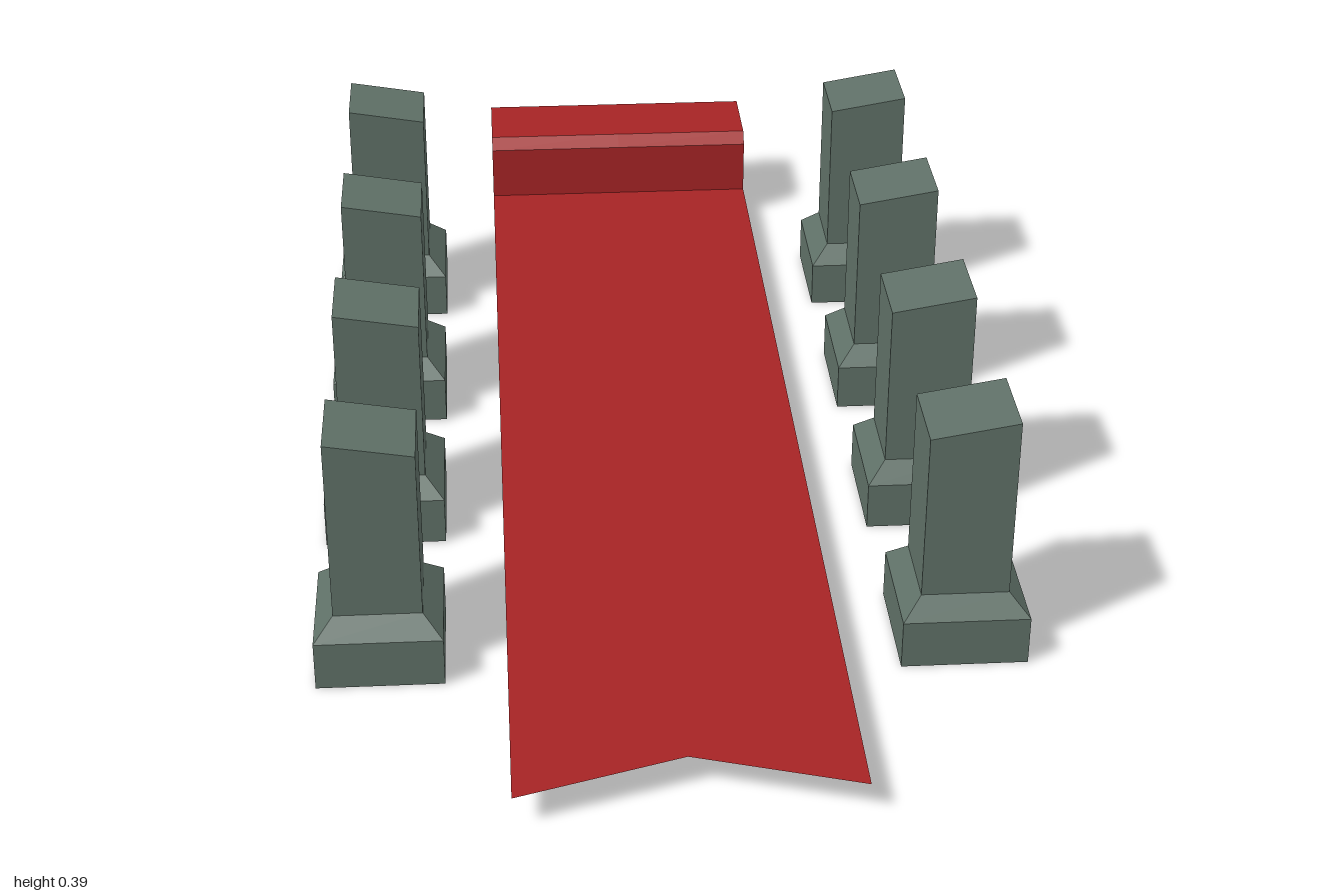
import * as THREE from 'three';

const stone = new THREE.MeshStandardMaterial({ color: 0x5f7067 });
stone.name = 'grey green stone';
const cloth = new THREE.MeshStandardMaterial({ color: 0xa62425, side: THREE.DoubleSide });
cloth.name = 'red cloth';

// Flat-faced geometry from a list of quads, each four corners counter-clockwise
function fromQuads(quads) {
  const pos = [];
  for (const [a, b, c, d] of quads) pos.push(...a, ...b, ...c, ...a, ...c, ...d);
  const geo = new THREE.BufferGeometry();
  geo.setAttribute('position', new THREE.Float32BufferAttribute(pos, 3));
  geo.computeVertexNormals();
  return geo;
}

// Square pillar: plinth, chamfer and shaft, its top sloping down towards -x * side
function pillarGeometry(side) {
  const sections = [[0.094, 0, 0], [0.094, 0.076, 0], [0.065, 0.106, 0], [0.065, 0.381, 0.011]];
  const rings = sections.map(([r, y, tilt]) =>
    [[-1, 1], [1, 1], [1, -1], [-1, -1]].map(([x, z]) => [x * r, y + x * side * tilt, z * r]));
  const quads = [[...rings[0]].reverse(), rings[rings.length - 1]];
  for (let i = 0; i < rings.length - 1; i++) {
    for (let k = 0; k < 4; k++) {
      const n = (k + 1) % 4;
      quads.push([rings[i][k], rings[i][n], rings[i + 1][n], rings[i + 1][k]]);
    }
  }
  return fromQuads(quads);
}

// Thin carpet sheet: notched front end, long run, step up and top landing
function carpetGeometry() {
  const w = 0.243;
  const profile = [[1, 0.05], [-0.841, 0.05], [-0.841, 0.146], [-0.859, 0.166], [-1, 0.166]];
  const notch = 0.075;
  const rows = profile.map(([z, y], i) =>
    [-w, 0, w].map((x) => [x, y, i === 0 && x === 0 ? z - notch : z]));
  const quads = [];
  for (let i = 0; i < rows.length - 1; i++) {
    for (let k = 0; k < 2; k++) {
      quads.push([rows[i][k], rows[i][k + 1], rows[i + 1][k + 1], rows[i + 1][k]]);
    }
  }
  return fromQuads(quads);
}

export function createModel() {
  const model = new THREE.Group();
  model.name = 'carpetAisle';

  const carpet = new THREE.Mesh(carpetGeometry(), cloth);
  carpet.name = 'carpet';
  model.add(carpet);

  // Four pillars along each side
  for (const side of [-1, 1]) {
    const row = new THREE.Group();
    row.name = side > 0 ? 'leftPillars' : 'rightPillars';
    const geo = pillarGeometry(side);
    for (let i = 0; i < 4; i++) {
      const pillar = new THREE.Mesh(geo, stone);
      pillar.name = 'pillar';
      pillar.position.set(side * 0.428, 0, 0.575 - i * 0.376);
      row.add(pillar);
    }
    model.add(row);
  }
  return model;
}
